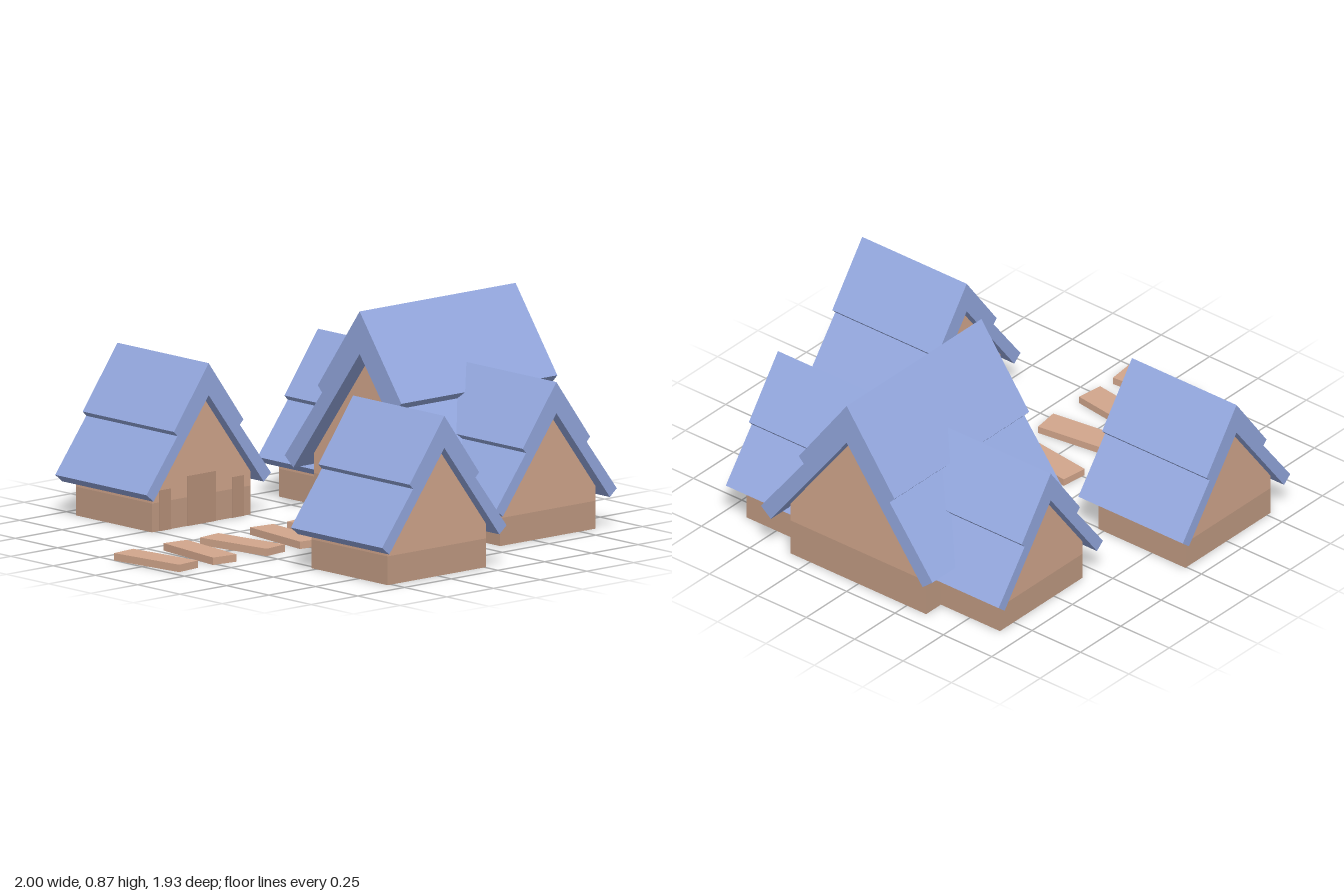
import * as THREE from 'three';

const paint = (color) => new THREE.MeshStandardMaterial({ color, flatShading: true });
const wallMat = paint(0xd2a68c);
const baseMat = paint(0xc09a82);
const doorMat = paint(0xb8917a);
const roofMat = paint(0x93a7de);

function add(parent, name, geometry, material) {
  const mesh = new THREE.Mesh(geometry, material);
  mesh.name = name;
  parent.add(mesh);
  return mesh;
}

// Mirror the right half of a gable profile and extrude it along z, centred
function gable(half, length) {
  const left = half.filter(([x]) => x > 0).map(([x, y]) => [-x, y]);
  // half runs from the lower centre/right side up to the apex
  const outer = half.filter(([x]) => x > 0);
  const apex = half.filter(([x]) => x === 0);
  const points = [...outer, apex[0], ...left.reverse(), ...apex.slice(1)];
  const shape = new THREE.Shape(points.map(([x, y]) => new THREE.Vector2(x, y)));
  return new THREE.ExtrudeGeometry(shape, { depth: length, bevelEnabled: false })
    .translate(0, 0, -length / 2);
}

// A house with its ridge along z; scale s sets the gable size
function house(name, s, wallLength, roofLength, hasDoor) {
  const g = new THREE.Group();
  g.name = name;
  const sized = (pts) => pts.map(([x, y]) => [x * s, y * s]);

  // darker plinth below, gabled wall above
  add(g, 'plinth', new THREE.BoxGeometry(0.7 * s, 0.155 * s, wallLength), baseMat)
    .position.y = 0.0775 * s;
  add(g, 'walls', gable(sized([[0.35, 0.155], [0.35, 0.235], [0, 0.7]]), wallLength), wallMat);

  // two-step roof: thick upper slabs over thinner lower slabs
  add(g, 'roof', gable(sized([
    [0.392, 0.18], [0.443, 0.222], [0.222, 0.51], [0.247, 0.536], [0, 0.873], [0, 0.7],
  ]), roofLength), roofMat);

  // door with a narrow panel on each side
  if (hasDoor) {
    for (const [label, x, w, h] of [['door', 0, 0.2, 0.27], ['leftPanel', 0.26, 0.08, 0.22], ['rightPanel', -0.26, 0.08, 0.22]]) {
      add(g, label, new THREE.BoxGeometry(w * s, h * s, 0.008), doorMat)
        .position.set(x * s, h * s / 2, wallLength / 2);
    }
  }
  return g;
}

export function createModel() {
  const model = new THREE.Group();
  model.name = 'village';

  // large hall crossed by a lower wing
  const hall = house('mainHall', 1, 0.69, 0.835, true);
  hall.position.x = 0.582;
  hall.rotation.y = -Math.PI / 2;
  const wing = house('crossWing', 0.73, 1.31, 1.41, false);
  wing.position.x = 0.58;
  model.add(hall, wing);

  // two cottages facing each other across the path
  for (const side of [-1, 1]) {
    const cottage = house(side > 0 ? 'frontCottage' : 'backCottage', 0.752, 0.45, 0.54, true);
    cottage.position.set(-0.257, 0, side * 0.697);
    cottage.rotation.y = side > 0 ? Math.PI : 0;
    model.add(cottage);
  }

  // path of slightly skewed planks
  const path = new THREE.Group();
  path.name = 'path';
  for (const [x, turn] of [[-0.925, 0.11], [-0.69, -0.13], [-0.463, 0.14], [-0.226, -0.12], [0.005, 0.15]]) {
    const plank = add(path, 'plank', new THREE.BoxGeometry(0.114, 0.03, 0.345), wallMat);
    plank.position.set(x, 0.015, 0);
    plank.rotation.y = turn;
  }
  model.add(path);
  return model;
}
